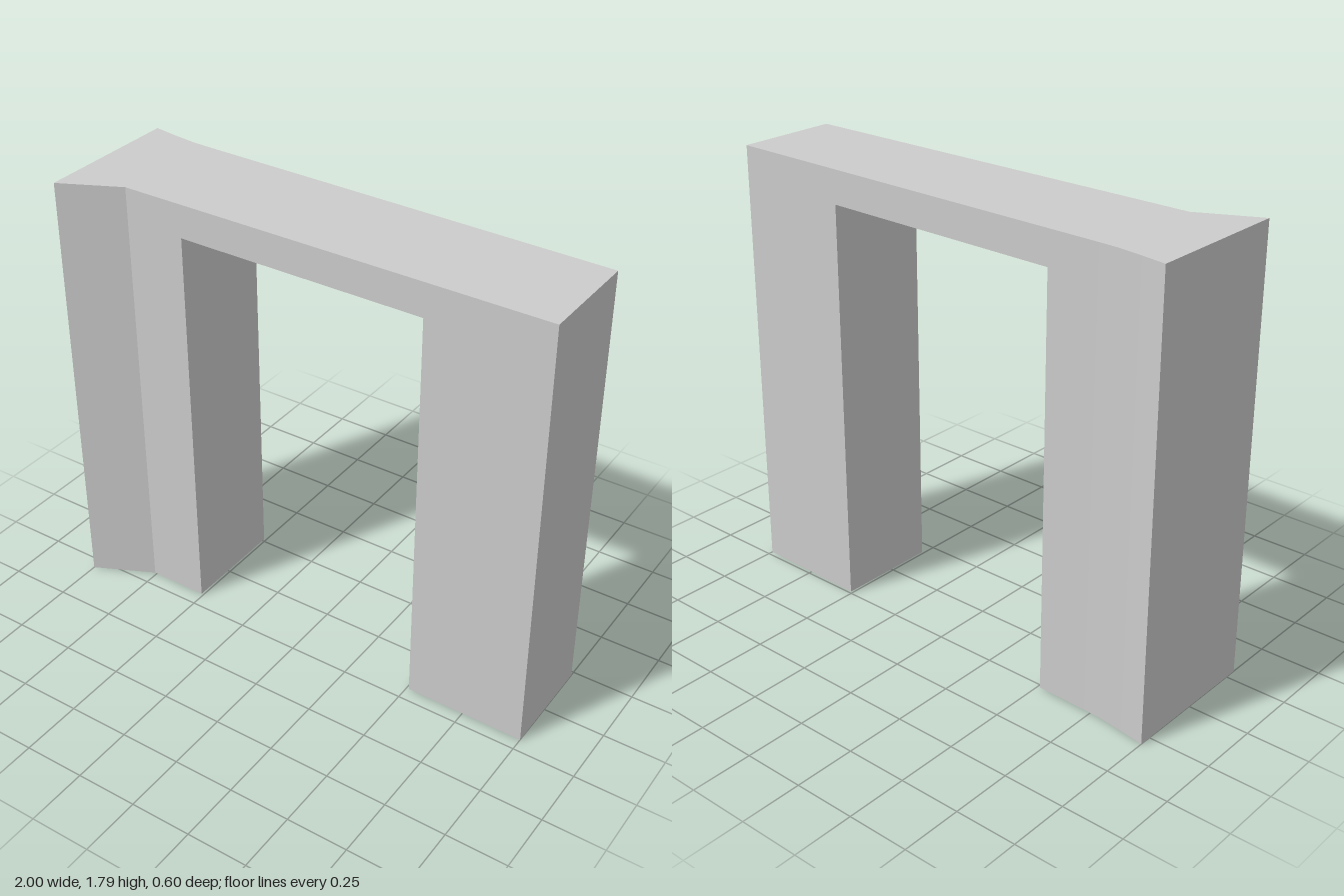
import * as THREE from 'three';

const TOP = 1.795, SOFFIT = 1.66, JAMB = 0.51;

// Plan outline of the wall: [x, z] along each face
const FRONT = [[-1, 0.3], [-0.76, 0.183], [1, 0.195]];
const BACK = [[-1, -0.3], [-0.9, -0.284], [-0.8, -0.271], [-0.72, -0.268], [1, -0.23]];

function depthAt(line, x) {
  let i = 1;
  while (i < line.length - 1 && x > line[i][0]) i++;
  const [x0, z0] = line[i - 1], [x1, z1] = line[i];
  return z0 + (z1 - z0) * (x - x0) / (x1 - x0);
}

// Section of the wall between two x positions; end walls are given as [y0, y1]
function wallSection(name, x0, x1, bottom, leftEnd, rightEnd) {
  const pos = [];
  const quad = (a, b, c, d) => pos.push(...a, ...b, ...c, ...a, ...c, ...d);
  const f = (x, y) => [x, y, depthAt(FRONT, x)];
  const k = (x, y) => [x, y, depthAt(BACK, x)];

  const bends = [...FRONT, ...BACK].map(p => p[0]).filter(x => x > x0 && x < x1);
  const xs = [...new Set([x0, ...bends, x1])].sort((a, b) => a - b);
  for (let i = 0; i < xs.length - 1; i++) {
    const a = xs[i], b = xs[i + 1];
    quad(f(a, bottom), f(b, bottom), f(b, TOP), f(a, TOP));
    quad(k(b, bottom), k(a, bottom), k(a, TOP), k(b, TOP));
    quad(f(a, TOP), f(b, TOP), k(b, TOP), k(a, TOP));
    quad(k(a, bottom), k(b, bottom), f(b, bottom), f(a, bottom));
  }
  if (leftEnd) {
    const [l, h] = leftEnd;
    quad(k(x0, l), f(x0, l), f(x0, h), k(x0, h));
  }
  if (rightEnd) {
    const [l, h] = rightEnd;
    quad(f(x1, l), k(x1, l), k(x1, h), f(x1, h));
  }

  const geo = new THREE.BufferGeometry();
  geo.setAttribute('position', new THREE.Float32BufferAttribute(pos, 3));
  geo.computeVertexNormals();
  const mesh = new THREE.Mesh(geo, new THREE.MeshStandardMaterial({ color: 0xcccccc, flatShading: true }));
  mesh.name = name;
  return mesh;
}

export function createModel() {
  const group = new THREE.Group();
  group.name = 'gateway';
  group.add(
    // Flared pillar, straight pillar and the beam that joins them
    wallSection('rightPillar', -1, -JAMB, 0, [0, TOP], [0, SOFFIT]),
    wallSection('leftPillar', JAMB, 1, 0, [0, SOFFIT], [0, TOP]),
    wallSection('lintel', -JAMB, JAMB, SOFFIT, null, null)
  );
  return group;
}
